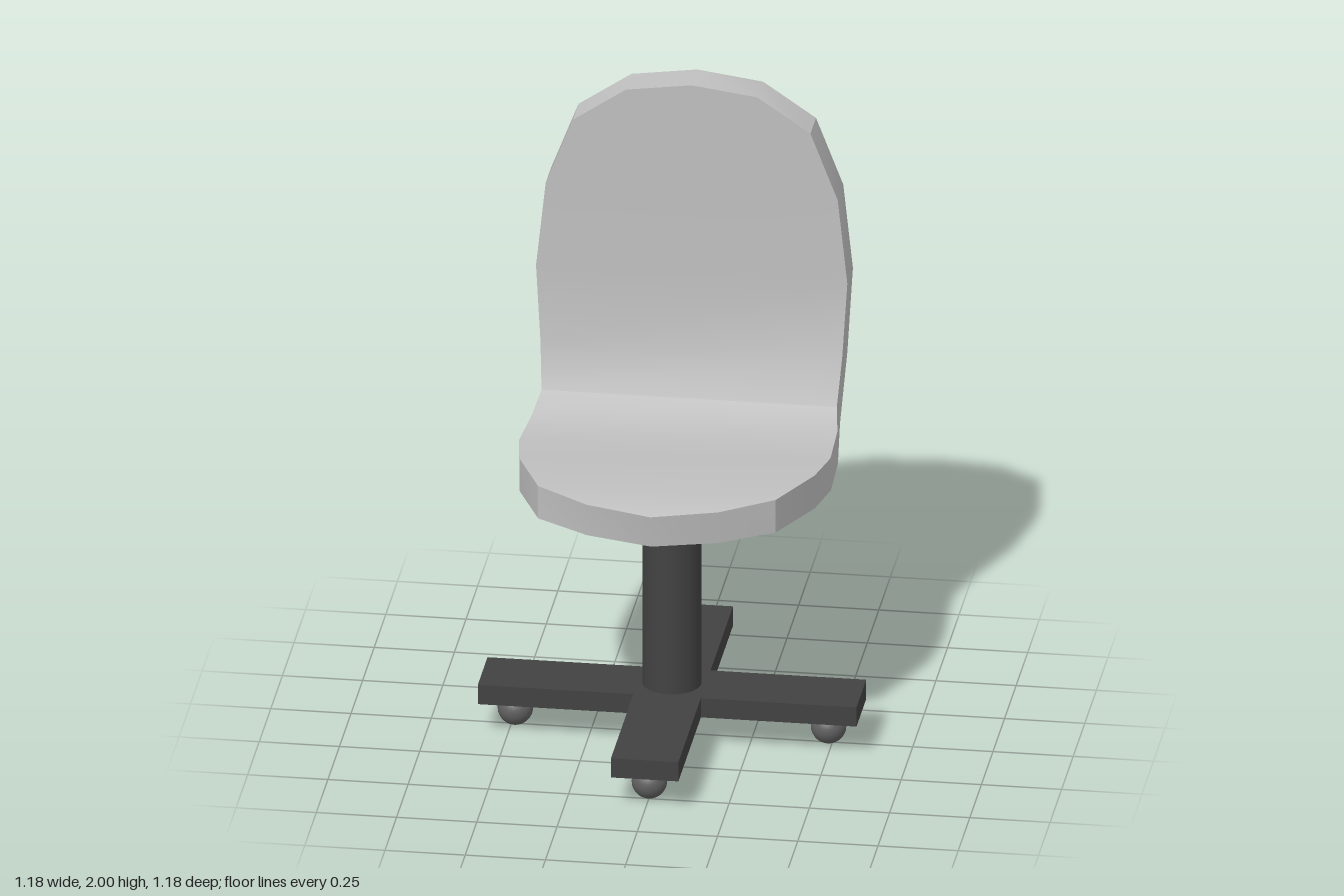
import * as THREE from 'three';
import { toCreasedNormals } from 'three/addons/utils/BufferGeometryUtils.js';

// Shell stations from seat tip to backrest top:
// [half width, upper z, upper y, lower z, lower y]
const STATIONS = [
  [0, 0.47, 0.938, 0.45, 0.83],
  [0.205, 0.43, 0.95, 0.415, 0.84],
  [0.37, 0.33, 0.958, 0.325, 0.846],
  [0.46, 0.11, 0.948, 0.105, 0.835],
  [0.485, -0.06, 0.932, -0.07, 0.82],
  [0.475, -0.28, 0.924, -0.29, 0.81],
  [0.46, -0.37, 0.965, -0.44, 0.88],
  [0.47, -0.417, 1.11, -0.528, 1.08],
  [0.485, -0.425, 1.36, -0.545, 1.36],
  [0.455, -0.425, 1.64, -0.545, 1.64],
  [0.37, -0.425, 1.86, -0.545, 1.86],
  [0.205, -0.425, 1.972, -0.545, 1.972],
  [0, -0.425, 2.0, -0.545, 2.0],
];

// Skin four-cornered sections into a closed shell
function shellGeometry() {
  const loops = STATIONS.map(([w, uz, uy, lz, ly]) => [
    new THREE.Vector3(-w, uy, uz), new THREE.Vector3(w, uy, uz),
    new THREE.Vector3(w, ly, lz), new THREE.Vector3(-w, ly, lz),
  ]);
  const points = [];
  const tri = (a, b, c) => {
    if (new THREE.Triangle(a, b, c).getArea() > 1e-6) points.push(a, b, c);
  };
  for (let j = 0; j < loops.length - 1; j++) {
    const s = loops[j], n = loops[j + 1];
    for (let i = 0; i < 4; i++) {
      const k = (i + 1) % 4;
      tri(s[i], s[k], n[k]);
      tri(s[i], n[k], n[i]);
    }
  }
  return toCreasedNormals(new THREE.BufferGeometry().setFromPoints(points), 0.6);
}

// Four-armed cross laid flat
function crossGeometry(reach, half, height) {
  const shape = new THREE.Shape();
  const corners = [];
  for (let i = 0; i < 4; i++) {
    const a = i * Math.PI / 2;
    for (const [x, y] of [[reach, -half], [reach, half], [half, half]]) {
      corners.push(new THREE.Vector2(x, y).rotateAround(new THREE.Vector2(), a));
    }
  }
  shape.setFromPoints(corners);
  return new THREE.ExtrudeGeometry(shape, { depth: height, bevelEnabled: false }).rotateX(-Math.PI / 2);
}

export function createModel() {
  const group = new THREE.Group();
  const material = (name, color) => {
    const m = new THREE.MeshStandardMaterial({ color });
    m.name = name;
    return m;
  };
  const shellGrey = material('light grey', 0xc0c0c0);
  const frameGrey = material('dark grey', 0x424242);
  const wheelGrey = material('medium grey', 0x606060);

  const add = (name, geometry, mat, x = 0, y = 0, z = 0) => {
    const mesh = new THREE.Mesh(geometry, mat);
    mesh.name = name;
    mesh.position.set(x, y, z);
    group.add(mesh);
  };

  // Seat and backrest in one bent shell
  add('seatShell', shellGeometry(), shellGrey);

  // Pedestal and base
  add('column', new THREE.CylinderGeometry(0.091, 0.091, 0.73, 32), frameGrey, 0, 0.505, 0);
  add('crossBase', crossGeometry(0.59, 0.105, 0.065), frameGrey, 0, 0.105, 0);

  // Ball casters under the arm ends
  const ball = new THREE.SphereGeometry(0.055, 24, 16);
  for (let i = 0; i < 4; i++) {
    const a = i * Math.PI / 2;
    add('caster' + (i + 1), ball, wheelGrey, 0.488 * Math.cos(a), 0.055, 0.488 * Math.sin(a));
  }
  return group;
}
